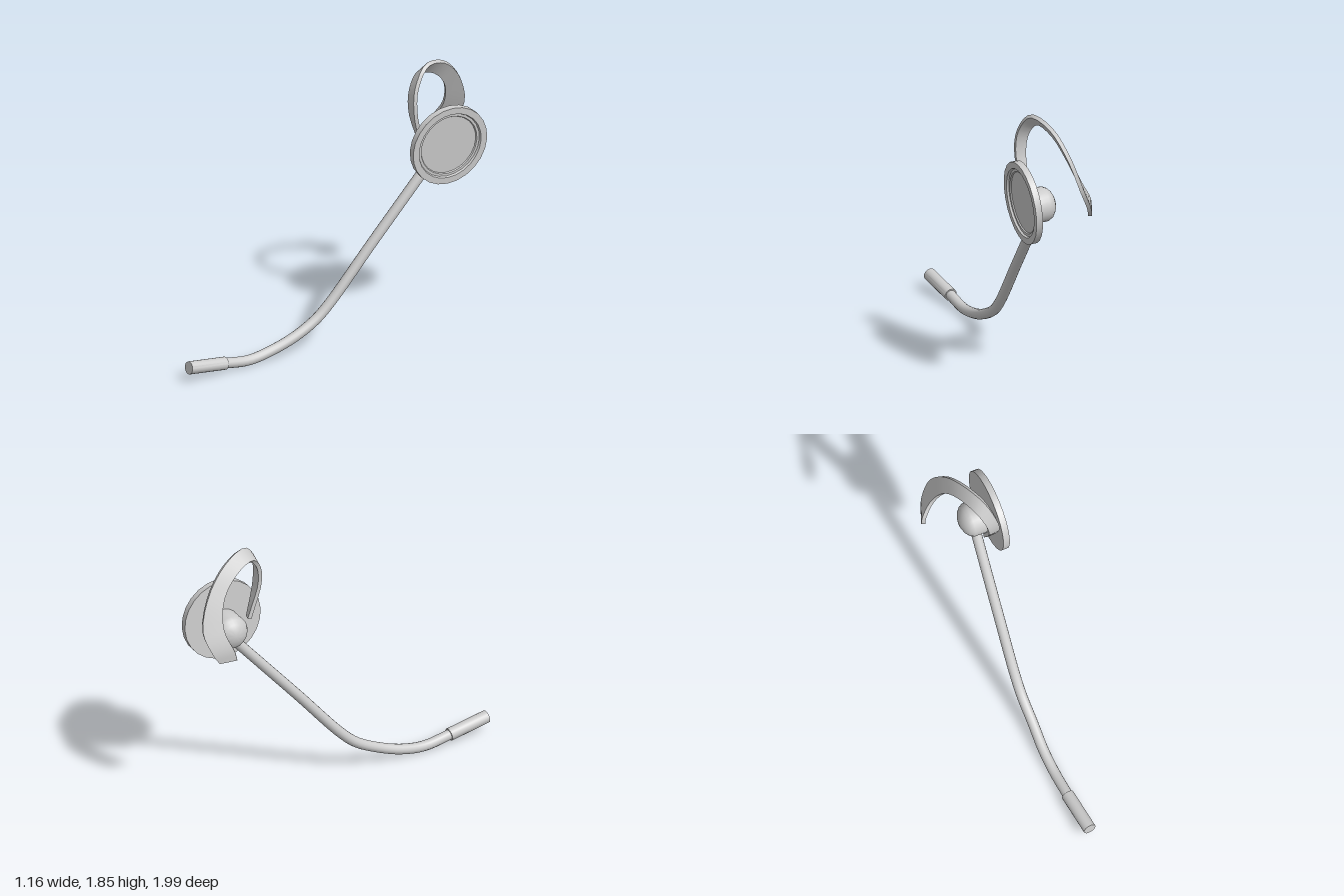
import * as THREE from 'three';
import { toCreasedNormals } from 'three/addons/utils/BufferGeometryUtils.js';

const material = new THREE.MeshStandardMaterial({ color: 0xcccccc });
const V = (x, y, z) => new THREE.Vector3(x, y, z);
const UP = V(0, 1, 0);

function addMesh(group, name, geometry, crease = 0.6) {
  const mesh = new THREE.Mesh(crease ? toCreasedNormals(geometry, crease) : geometry, material);
  mesh.name = name;
  group.add(mesh);
  return mesh;
}

// Turned part whose axis points along the given direction
function addTurned(group, name, profile, position, axis, segments = 24) {
  const points = profile.map(([r, y]) => new THREE.Vector2(r, y));
  const mesh = addMesh(group, name, new THREE.LatheGeometry(points, segments));
  mesh.position.copy(position);
  mesh.quaternion.setFromUnitVectors(UP, axis);
}

// Twisting flat band: each station is a centre and a half-width vector
function bandGeometry(stations, thickness, steps) {
  const centres = new THREE.CatmullRomCurve3(stations.map(s => V(...s[0])));
  const widths = new THREE.CatmullRomCurve3(stations.map(s => V(...s[1])));
  const positions = [], index = [];
  for (let i = 0; i <= steps; i++) {
    const c = centres.getPoint(i / steps);
    const t = centres.getTangent(i / steps);
    const w = widths.getPoint(i / steps);
    const n = w.clone().cross(t).setLength(thickness / 2);
    for (const [a, b] of [[-1, 1], [1, 1], [1, -1], [-1, -1]]) {
      positions.push(...c.clone().addScaledVector(w, a).addScaledVector(n, b).toArray());
    }
    if (i === steps) continue;
    for (let k = 0; k < 4; k++) {
      const a = i * 4 + k, b = i * 4 + (k + 1) % 4;
      index.push(a, b, b + 4, a, b + 4, a + 4);
    }
  }
  const e = steps * 4;
  index.push(0, 3, 2, 0, 2, 1, e, e + 1, e + 2, e, e + 2, e + 3);
  const geometry = new THREE.BufferGeometry();
  geometry.setAttribute('position', new THREE.Float32BufferAttribute(positions, 3));
  geometry.setIndex(index);
  return geometry;
}

export function createModel() {
  const group = new THREE.Group();
  group.name = 'earHookHeadset';
  const axis = V(0.88, -0.08, 0.475).normalize();

  // Round outer plate with a raised rim and recessed face
  addTurned(group, 'earpiecePlate', [
    [0, -0.022], [0.272, -0.022], [0.272, 0.022], [0.228, 0.022],
    [0.222, 0.008], [0.205, 0.008], [0.2, 0], [0, 0],
  ], V(0.434, 1.3, -0.593), axis);

  // Domed speaker behind the plate
  addTurned(group, 'speakerHub', [
    [0, -0.215], [0.04, -0.208], [0.075, -0.193], [0.1, -0.172],
    [0.114, -0.145], [0.114, -0.015], [0, -0.015],
  ], V(0.434, 1.258, -0.593), axis);

  // Boom: long straight run, then a bend towards the mouth
  const boom = new THREE.CatmullRomCurve3([
    V(0.315, 1.19, -0.62), V(0.25, 1.045, -0.515), V(0.08, 0.665, -0.24),
    V(-0.075, 0.31, 0.015), V(-0.128, 0.21, 0.11), V(-0.2, 0.125, 0.25),
    V(-0.285, 0.065, 0.4), V(-0.358, 0.04, 0.55), V(-0.44, 0.067, 0.73),
  ]);
  addMesh(group, 'boom', new THREE.TubeGeometry(boom, 48, 0.034, 14), 0);

  // Microphone at the tip
  const micStart = V(-0.434, 0.065, 0.715), micEnd = V(-0.543, 0.107, 0.978);
  const mic = addMesh(group, 'microphone',
    new THREE.CylinderGeometry(0.042, 0.042, micStart.distanceTo(micEnd), 18));
  mic.position.copy(micStart).lerp(micEnd, 0.5);
  mic.quaternion.setFromUnitVectors(UP, micEnd.clone().sub(micStart).normalize());

  // Ear hook: rises from the hub, arches over and twists down behind the ear
  addMesh(group, 'earHook', bandGeometry([
    [[0.285, 1.31, -0.5], [0.015, 0, 0.012]],
    [[0.268, 1.55, -0.43], [0.032, 0, 0.016]],
    [[0.262, 1.7, -0.45], [0.033, 0.012, 0.018]],
    [[0.268, 1.805, -0.545], [0.034, 0.035, 0.004]],
    [[0.288, 1.765, -0.71], [0.032, 0.038, -0.014]],
    [[0.298, 1.625, -0.85], [0.036, 0.025, -0.032]],
    [[0.262, 1.43, -0.932], [0.05, 0, -0.048]],
    [[0.185, 1.3, -0.93], [0.053, -0.01, -0.046]],
    [[0.157, 1.235, -0.915], [0.043, -0.01, -0.036]],
  ], 0.026, 28), 0.7);

  return group;
}
